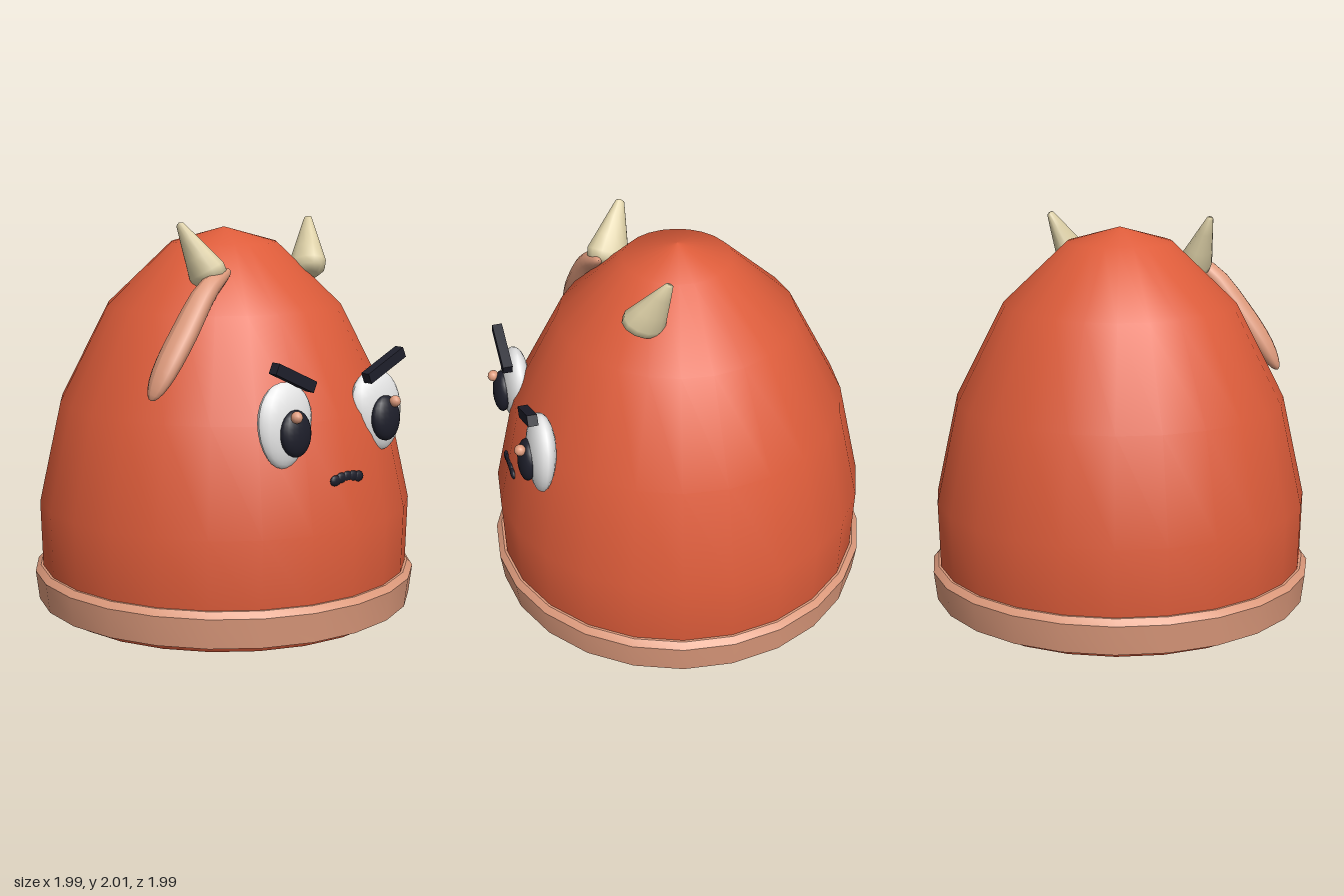
import * as THREE from 'three';
import { toCreasedNormals } from 'three/addons/utils/BufferGeometryUtils.js';

const paint = (name, color) => {
  const m = new THREE.MeshStandardMaterial({ color });
  m.name = name;
  return m;
};

export function createModel() {
  const root = new THREE.Group();
  root.name = 'hornedCreature';
  const red = paint('orangeRed', 0xdd5c3a);
  const peach = paint('peach', 0xdd9a7c);
  const cream = paint('cream', 0xdccfa6);
  const white = paint('eyeWhite', 0xf0f0f0);
  const dark = paint('darkNavy', 0x1e1f2b);

  const add = (name, geometry, material, pos = [0, 0, 0], parent = root) => {
    const mesh = new THREE.Mesh(geometry, material);
    mesh.name = name;
    mesh.position.set(...pos);
    parent.add(mesh);
    return mesh;
  };
  const lathe = (pts, sides) =>
    new THREE.LatheGeometry(pts.map(([r, y]) => new THREE.Vector2(r, y)), sides);

  // Domed body with a flat underside
  add('body', lathe([[0.89, 0.005], [0.92, 0.05], [0.955, 0.2], [0.965, 0.57],
    [0.85, 1.09], [0.6, 1.58], [0.27, 1.895], [0, 1.97]], 24), red);
  add('underside', new THREE.CircleGeometry(0.89, 24).rotateX(Math.PI / 2), red, [0, 0.005, 0]);

  // Band around the foot
  const band = lathe([[0.91, 0.05], [0.978, 0.05], [0.996, 0.2], [0.968, 0.23], [0.94, 0.23], [0.91, 0.05]], 24);
  add('baseBand', toCreasedNormals(band, 0.5), peach);

  // Egg-shaped eyeball, wider towards the top
  const egg = new THREE.SphereGeometry(1, 20, 14);
  const p = egg.attributes.position;
  for (let i = 0; i < p.count; i++) {
    const k = 1 + 0.12 * p.getY(i);
    p.setXYZ(i, p.getX(i) * k, p.getY(i), p.getZ(i) * k);
  }
  egg.computeVertexNormals();

  for (const [side, s] of [['right', -1], ['left', 1]]) {
    const face = new THREE.Group();
    face.name = side + 'EyeAndHorn';
    root.add(face);

    const ball = add(side + 'Eyeball', egg, white, [s * 0.312, 1.09, 0.795], face);
    ball.scale.set(0.162, 0.204, 0.068);
    ball.rotation.set(-0.1, 0, s * 0.17);

    const pupil = add(side + 'Pupil', new THREE.SphereGeometry(1, 18, 12), dark, [s * 0.305, 1.06, 0.865], face);
    pupil.scale.set(0.092, 0.112, 0.045);
    pupil.rotation.x = -0.08;

    add(side + 'EyeGlint', new THREE.SphereGeometry(0.029, 12, 8), peach, [s * 0.332, 1.145, 0.9], face);

    const brow = add(side + 'Brow', new THREE.BoxGeometry(0.265, 0.055, 0.05), dark, [s * 0.305, 1.322, 0.845], face);
    brow.rotation.z = s * 0.43;

    // Horn leaning outwards and back, oval in section
    const horn = add(side + 'Horn', lathe([[0, -0.035], [0.06, -0.03], [0.095, 0], [0.1, 0.04],
      [0.075, 0.12], [0.045, 0.22], [0.02, 0.3], [0, 0.308]], 12), cream, [s * 0.325, 1.745, 0.275], face);
    horn.scale.set(0.84, 1, 1.12);
    horn.quaternion.setFromUnitVectors(new THREE.Vector3(0, 1, 0),
      new THREE.Vector3(s * 0.105, 0.26, -0.105).normalize());
  }

  // Lock of hair: a sphere stretched along a curve over the brow
  const curve = new THREE.CatmullRomCurve3([
    [-0.25, 1.785, 0.335], [-0.4, 1.7, 0.345], [-0.56, 1.5, 0.358], [-0.68, 1.335, 0.362], [-0.765, 1.2, 0.36],
  ].map((a) => new THREE.Vector3(...a)));
  const lock = new THREE.SphereGeometry(1, 12, 16);
  const q = lock.attributes.position;
  for (let i = 0; i < q.count; i++) {
    const t = Math.min(1, Math.max(0, (1 - q.getY(i)) / 2));
    const c = curve.getPoint(t);
    const d = curve.getTangent(t);
    const w = q.getX(i) * 0.06;
    const depth = q.getZ(i) * (0.06 + 0.035 * t);
    q.setXYZ(i, c.x - d.y * w, c.y + d.x * w, c.z + depth);
  }
  lock.computeVertexNormals();
  add('hairLock', lock, peach);

  // Small frowning mouth made of overlapping beads
  for (let i = -2; i <= 2; i++) {
    const bead = add('mouthBead', new THREE.SphereGeometry(1, 10, 8), dark,
      [i * 0.038, 0.817 - 0.0025 * i * i, 0.903]);
    bead.scale.set(0.036, 0.027, 0.014);
  }
  return root;
}
